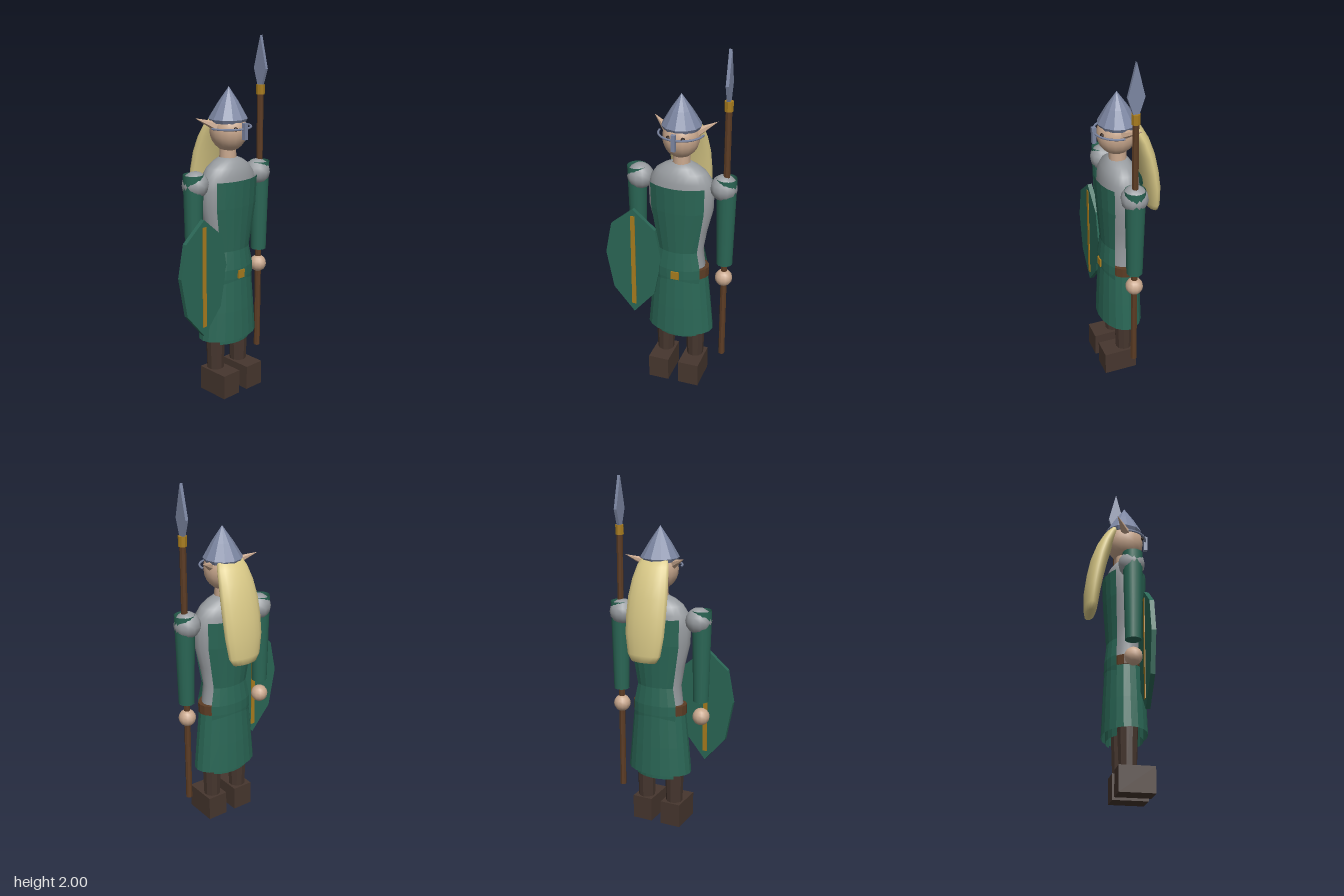
import * as THREE from 'three';

const CX = 0.055, CZ = 0.045;

const mat = (name, color, side = THREE.FrontSide) => {
  const m = new THREE.MeshStandardMaterial({ color, side });
  m.name = name;
  return m;
};

// Faceted look by splitting the vertices
function flat(geo) {
  const g = geo.index ? geo.toNonIndexed() : geo;
  g.computeVertexNormals();
  return g;
}

// Skin over elliptical rings [y, rx, rz, z], listed from bottom to top; a0..a1 is the arc (0 = front)
function loft(rings, n, a0 = -Math.PI, a1 = Math.PI) {
  const closed = a1 - a0 > 6.28, cols = closed ? n : n + 1;
  const pos = [], idx = [];
  for (const [y, rx, rz, z = CZ] of rings) {
    for (let j = 0; j < cols; j++) {
      const a = a0 + (a1 - a0) * j / n;
      pos.push(CX + rx * Math.sin(a), y, z + rz * Math.cos(a));
    }
  }
  for (let i = 0; i < rings.length - 1; i++) {
    for (let j = 0; j < n; j++) {
      const k = (j + 1) % cols;
      const a = i * cols + j, b = i * cols + k, c = b + cols, d = a + cols;
      idx.push(a, b, c, a, c, d);
    }
  }
  const g = new THREE.BufferGeometry();
  g.setAttribute('position', new THREE.Float32BufferAttribute(pos, 3));
  g.setIndex(idx);
  g.computeVertexNormals();
  return g;
}

// Outline extruded by depth, centred on z
function plate(points, depth) {
  const shape = new THREE.Shape(points.map(([x, y]) => new THREE.Vector2(x, y)));
  return new THREE.ExtrudeGeometry(shape, { depth, bevelEnabled: false }).translate(0, 0, -depth / 2);
}

export function createModel() {
  const group = new THREE.Group();
  group.name = 'spearGuard';

  const green = mat('green cloth', 0x2a6655, THREE.DoubleSide);
  const mail = mat('grey mail', 0x989ca0);
  const steel = mat('blue steel', 0x7c86a2);
  const skin = mat('skin', 0xc9a88e);
  const blond = mat('blond hair', 0xd9c987);
  const leather = mat('dark leather', 0x46362e);
  const wood = mat('brown wood', 0x5c3c24);
  const gold = mat('gold', 0xa87c1e);
  const dark = mat('eye dark', 0x2a1c16);

  const add = (name, geo, material, x = 0, y = 0, z = 0) => {
    const m = new THREE.Mesh(geo, material);
    m.name = name;
    m.position.set(x, y, z);
    group.add(m);
    return m;
  };
  const box = (w, h, d) => new THREE.BoxGeometry(w, h, d);
  const cyl = (rt, rb, h, n, open = false) => new THREE.CylinderGeometry(rt, rb, h, n, 1, open);

  // Legs and boots
  for (const [side, x] of [['right', -0.037], ['left', 0.144]]) {
    add(side + 'Leg', flat(cyl(0.064, 0.048, 0.46, 10)), leather, x, 0.36, CZ);
    add(side + 'Boot', box(0.12, 0.14, 0.194), leather, x, 0.07, 0.083);
  }

  // Body in mail
  add('torso', loft([
    [0.66, 0.14, 0.09], [0.75, 0.14, 0.09], [0.85, 0.129, 0.085], [0.97, 0.15, 0.093],
    [1.1, 0.182, 0.102], [1.2, 0.185, 0.104], [1.27, 0.172, 0.1], [1.315, 0.14, 0.085],
    [1.345, 0.095, 0.065], [1.365, 0.045, 0.045], [1.366, 0, 0],
  ], 24), mail);
  add('belt', flat(loft([
    [0.685, 0.13, 0.08], [0.686, 0.163, 0.1], [0.742, 0.163, 0.1], [0.743, 0.13, 0.08],
  ], 20)), wood);

  // Tabard panels, front and back, open at the sides
  const tabard = [
    [0.3, 0.148, 0.1], [0.6, 0.155, 0.103], [0.69, 0.166, 0.109], [0.745, 0.166, 0.109],
    [0.85, 0.14, 0.097], [1.1, 0.189, 0.115], [1.25, 0.194, 0.122],
  ];
  const half = 0.91;
  add('frontTabard', flat(loft(tabard, 6, -half, half)), green);
  add('backTabard', flat(loft(tabard, 6, Math.PI - half, Math.PI + half)), green);
  add('skirt', flat(loft([[0.33, 0.192, 0.123], [0.5, 0.176, 0.117], [0.69, 0.157, 0.108]], 20)), green);
  add('buckle', box(0.046, 0.046, 0.012), gold, CX, 0.714, CZ + 0.11);

  // Arms
  for (const [side, armX, shoulderX] of [['right', -0.2, -0.183], ['left', 0.307, 0.292]]) {
    add(side + 'Shoulder', new THREE.SphereGeometry(0.074, 12, 8), mail, shoulderX, 1.243, 0.042);
    add(side + 'Sleeve', cyl(0.056, 0.044, 0.52, 14, true), green, armX, 1.043, CZ);
    add(side + 'SleeveEnd', new THREE.CircleGeometry(0.044, 14).rotateX(Math.PI / 2), green, armX, 0.784, CZ);
    add(side + 'Hand', new THREE.SphereGeometry(0.049, 12, 8), skin, armX - 0.002, 0.69, CZ);
  }

  // Head
  add('neck', cyl(0.045, 0.05, 0.12, 12), skin, CX, 1.385, CZ);
  add('head', new THREE.SphereGeometry(1, 16, 12).scale(0.1, 0.113, 0.108), skin, CX, 1.508, 0.05);
  for (const s of [-1, 1]) {
    const side = s < 0 ? 'right' : 'left';
    add(side + 'Eye', new THREE.SphereGeometry(0.012, 8, 6), dark, CX + s * 0.04, 1.53, 0.145);
    const base = new THREE.Vector3(CX + s * 0.075, 1.535, 0.045);
    const tip = new THREE.Vector3(CX + s * 0.178, 1.585, -0.025);
    const dir = tip.clone().sub(base);
    const mid = base.clone().add(tip).multiplyScalar(0.5);
    const ear = add(side + 'Ear', flat(new THREE.ConeGeometry(0.028, dir.length(), 6)), skin, mid.x, mid.y, mid.z);
    ear.quaternion.setFromUnitVectors(new THREE.Vector3(0, 1, 0), dir.normalize());
  }

  // Long hair falling down the back
  add('hair', loft([
    [1.028, 0, 0, -0.15], [1.03, 0.075, 0.028, -0.15], [1.07, 0.1, 0.037, -0.147], [1.18, 0.117, 0.045, -0.138],
    [1.28, 0.12, 0.048, -0.122], [1.38, 0.118, 0.049, -0.1], [1.47, 0.108, 0.046, -0.071],
    [1.54, 0.094, 0.04, -0.038], [1.58, 0.075, 0.028, -0.012], [1.6, 0, 0, 0],
  ], 16), blond);

  // Helmet with brow band and nose guard
  add('helmet', flat(loft([
    [1.55, 0, 0, 0.045], [1.555, 0.098, 0.098, 0.045], [1.575, 0.108, 0.108, 0.045],
    [1.66, 0.058, 0.058, 0.048], [1.745, 0, 0, 0.05],
  ], 12)), steel);
  add('browBand', new THREE.TorusGeometry(0.122, 0.006, 6, 20, Math.PI).rotateX(Math.PI / 2), steel, CX, 1.53, 0.05);
  add('noseGuard', box(0.024, 0.09, 0.022), steel, CX - 0.001, 1.518, 0.176);

  // Spear
  const sx = 0.306;
  add('spearShaft', flat(cyl(0.018, 0.018, 1.53, 8)), wood, sx, 0.937, CZ);
  add('spearCollar', flat(cyl(0.024, 0.024, 0.054, 8)), gold, sx, 1.705, CZ);
  add('spearBlade', plate([
    [-0.016, 1.73], [0.016, 1.73], [0.045, 1.82], [0, 2], [-0.045, 1.82],
  ], 0.017).rotateY(Math.PI / 2), steel, sx, 0, CZ);

  // Shield with a gold stripe through it
  add('shield', plate([
    [0, 0.405], [0.123, 0.55], [0.166, 0.775], [0.13, 0.96],
    [0, 1.07], [-0.13, 0.96], [-0.166, 0.775], [-0.123, 0.55],
  ], 0.025), green, -0.201, 0, 0.118);
  add('shieldStripe', box(0.026, 0.57, 0.033), gold, -0.201, 0.745, 0.118);

  return group;
}
